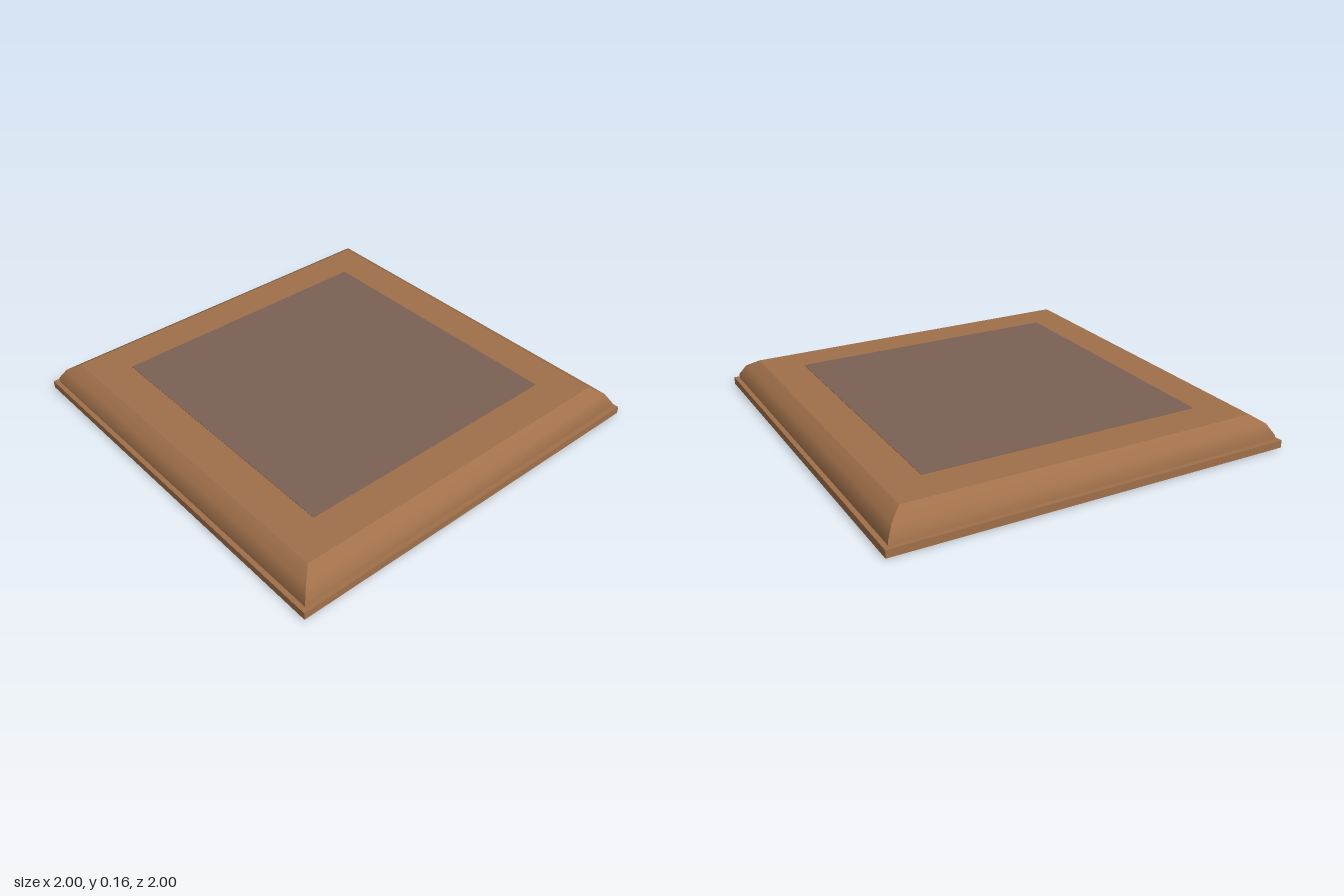
import * as THREE from 'three';

const wood = new THREE.MeshStandardMaterial({ color: 0xa0704a });
wood.name = 'warm wood';
const slate = new THREE.MeshStandardMaterial({ color: 0x7b6254 });
slate.name = 'grey brown inlay';

// Half-width and height of the rounded edge, from the foot to the top
const PROFILE = [[0.977, 0], [0.977, 0.065], [0.945, 0.118], [0.888, 0.155]];

function addMesh(parent, name, geometry, material, y = 0) {
  const mesh = new THREE.Mesh(geometry, material);
  mesh.name = name;
  mesh.position.y = y;
  parent.add(mesh);
  return mesh;
}

// One side of the slab: smooth along its curve, mitred at both ends
function sideGeometry() {
  const positions = [];
  const index = [];
  PROFILE.forEach(([r, y], i) => {
    positions.push(-r, y, r, r, y, r);
    if (i > 0) {
      const a = 2 * (i - 1);
      index.push(a, a + 1, a + 3, a, a + 3, a + 2);
    }
  });
  const geometry = new THREE.BufferGeometry();
  geometry.setAttribute('position', new THREE.Float32BufferAttribute(positions, 3));
  geometry.setIndex(index);
  geometry.computeVertexNormals();
  return geometry;
}

export function createModel() {
  const model = new THREE.Group();
  model.name = 'panelledSlab';

  // Rounded slab body
  const body = new THREE.Group();
  body.name = 'body';
  model.add(body);
  const side = sideGeometry();
  ['front', 'left', 'back', 'right'].forEach((name, i) => {
    addMesh(body, name + 'Edge', side, wood).rotation.y = i * Math.PI / 2;
  });
  const [footHalf] = PROFILE[0];
  const [topHalf, topY] = PROFILE[PROFILE.length - 1];
  const top = new THREE.PlaneGeometry(2 * topHalf, 2 * topHalf).rotateX(-Math.PI / 2);
  addMesh(body, 'topFace', top, wood, topY);
  const bottom = new THREE.PlaneGeometry(2 * footHalf, 2 * footHalf).rotateX(Math.PI / 2);
  addMesh(body, 'bottomFace', bottom, wood);

  // Square lip around the foot
  addMesh(model, 'baseLip', new THREE.BoxGeometry(2, 0.037, 2), wood, 0.0235);

  // Thin inlaid panel on the top
  addMesh(model, 'topPanel', new THREE.BoxGeometry(1.41, 0.004, 1.41), slate, topY);

  return model;
}
